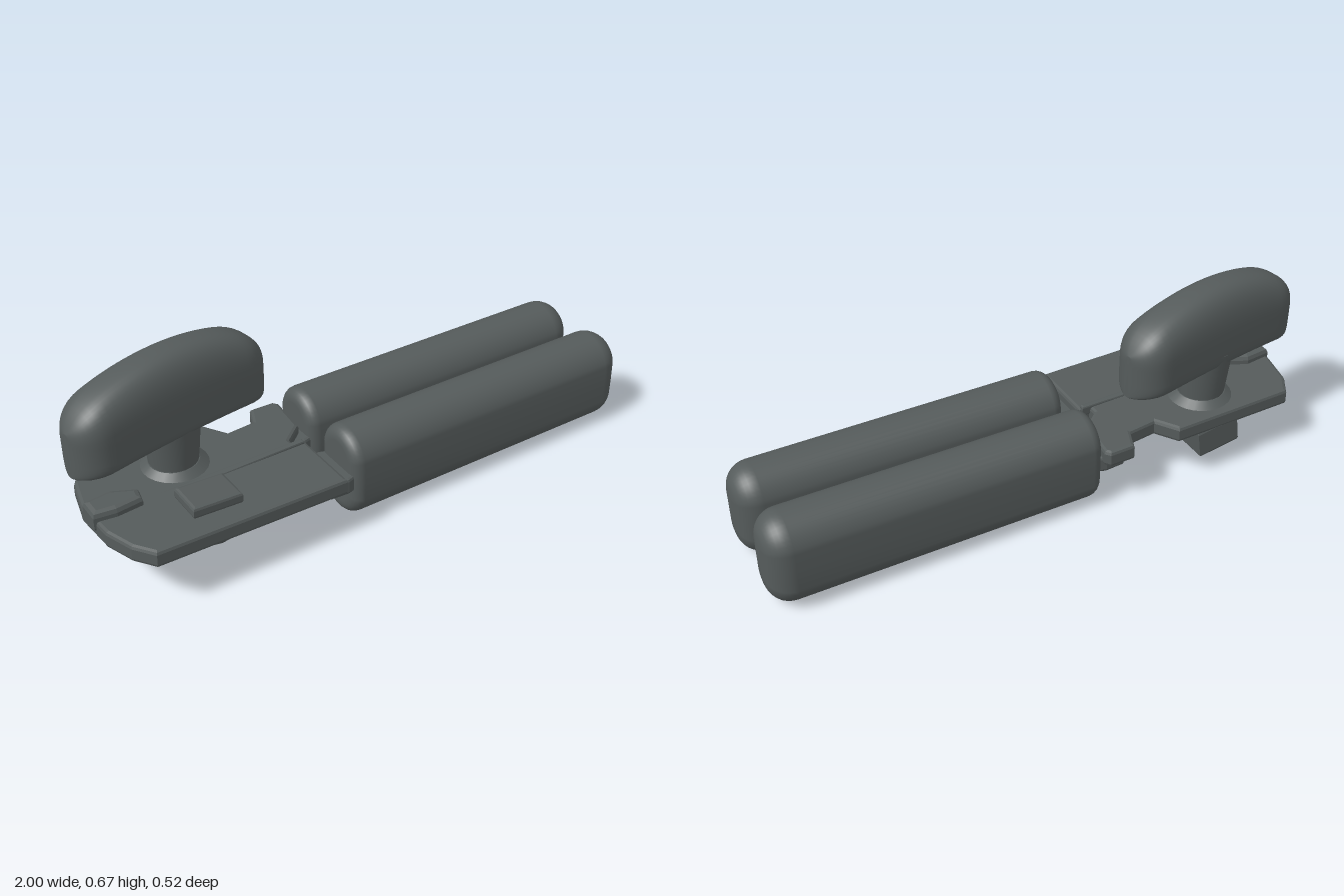
import * as THREE from 'three';

// Skin a row of rings running along x. ring(t, a) gives the [x, y, z] of one point.
function loft(stations, ring, sides = 40) {
  const pos = [], idx = [];
  for (const s of stations)
    for (let j = 0; j < sides; j++) pos.push(...ring(s, (j / sides) * Math.PI * 2));
  for (let i = 0; i < stations.length - 1; i++)
    for (let j = 0; j < sides; j++) {
      const k = (j + 1) % sides;
      const a = i * sides + j, b = a + sides, c = i * sides + k, d = c + sides;
      idx.push(a, b, c, b, d, c);
    }
  const g = new THREE.BufferGeometry();
  g.setAttribute('position', new THREE.Float32BufferAttribute(pos, 3));
  g.setIndex(idx);
  g.computeVertexNormals();
  return g;
}

// Flat outline in [x, z], given thickness upward from y, with a small bevel
function slab(points, y, height, bevel) {
  const shape = new THREE.Shape(points.map(([x, z]) => new THREE.Vector2(x, -z)));
  const g = new THREE.ExtrudeGeometry(shape, {
    depth: height - 2 * bevel, bevelEnabled: true, bevelSize: bevel,
    bevelOffset: -bevel, bevelThickness: bevel, bevelSegments: 2,
  });
  return g.rotateX(-Math.PI / 2).translate(0, y + bevel, 0);
}

// Long padded grip with an upright stadium section and rounded ends
function gripGeometry() {
  const R = 0.107, S = 0.055, st = [{ x: -0.165, r: 0, s: 0 }];
  const rounded = (x, rad, dir, n) => {
    for (let i = 0; i <= n; i++) {
      const a = (i / n) * Math.PI / 2, t = dir < 0 ? Math.PI / 2 - a : a;
      st.push({ x: x + dir * rad * Math.sin(t), r: R - rad * (1 - Math.cos(t)), s: S });
    }
  };
  st.push({ x: -0.165, r: 0.06, s: S });
  rounded(-0.125, 0.04, -1, 5);
  rounded(0.915, 0.08, 1, 8);
  st.push({ x: 0.998, r: 0.018, s: S }, { x: 1, r: 0, s: 0 });
  return loft(st, ({ x, r, s }, a) => {
    const sn = Math.sin(a);
    return [x, 0.163 + r * sn + (Math.abs(sn) < 1e-6 ? 0 : Math.sign(sn) * s), r * Math.cos(a)];
  });
}

// Turning key: arched top, square lower edge and a shallow hollow underneath
function keyGeometry() {
  const L = 0.366, st = [{ u: -L, w: 0, h: 0 }];
  for (let i = 0; i <= 36; i++) {
    const u = -L * Math.cos((i / 36) * Math.PI) * 0.998;
    const e = Math.max(0, (Math.abs(u) - 0.266) / 0.1);
    st.push({ u, w: 0.1 * Math.sqrt(Math.max(0.01, 1 - e * e)), h: 1 });
  }
  st.push({ u: L, w: 0, h: 0 });
  return loft(st, ({ u, w, h }, a) => {
    const q = Math.abs(u / L);
    const top = 0.67 - 0.085 * q * q - 0.06 * q ** 10;
    const bottom = 0.385 - 0.015 * q * q;
    const mid = 0.49, c = Math.cos(a), s = Math.sin(a);
    const n = s > 0 ? 2.7 : 7;
    const z = Math.sign(c) * Math.abs(c) ** (2 / n);
    const v = Math.abs(s) ** (2 / n);
    let y = s > 0 ? mid + (top - mid) * v : mid - (mid - bottom) * v;
    if (s < 0 && Math.abs(z) < 0.75 && q < 0.9) y += 0.035;
    return [u, mid + (y - mid) * h, z * w];
  }, 48);
}

export function createModel() {
  const model = new THREE.Group();
  const grey = new THREE.MeshStandardMaterial({ color: 0x555b5b });
  grey.name = 'dark grey';
  const add = (name, geometry, x = 0, y = 0, z = 0) => {
    const m = new THREE.Mesh(geometry, grey);
    m.name = name;
    m.position.set(x, y, z);
    model.add(m);
    return m;
  };

  // Two grips and the necks that join them to the head
  const grip = gripGeometry();
  for (const [side, z] of [['front', 0.127], ['back', -0.138]]) {
    add(side + 'Grip', grip, 0, 0, z);
    add(side + 'Neck', slab([[-0.25, z - 0.09], [-0.18, z - 0.095], [-0.13, z - 0.08],
      [-0.13, z + 0.08], [-0.18, z + 0.095], [-0.25, z + 0.09]], 0.13, 0.06, 0.01));
  }

  // Head plate with clipped corners, a slot between the arms and a cut in the back edge
  const plate = add('headPlate', slab([
    [-0.88, 0.258], [-0.21, 0.258], [-0.21, 0], [-0.25, 0], [-0.25, -0.03], [-0.18, -0.09],
    [-0.165, -0.24], [-0.18, -0.26], [-0.27, -0.26], [-0.3, -0.19], [-0.4, -0.18], [-0.45, -0.26],
    [-0.9, -0.26], [-0.945, -0.19], [-0.975, -0.06], [-0.965, 0.09], [-0.93, 0.19],
  ], -0.03, 0.06, 0.012), 0, 0.192, 0);
  plate.rotation.z = -0.02;

  // Raised details on top of the plate
  add('endRidge', slab([[-0.975, 0.03], [-0.9, 0.04], [-0.81, 0.03], [-0.8, -0.02],
    [-0.88, -0.06], [-0.975, -0.05]], 0.2, 0.072, 0.018));
  add('armSeam', slab([[-0.9, 0.035], [-0.22, 0.015], [-0.22, -0.005], [-0.9, 0.0]], 0.2, 0.037, 0.006));
  const pad = add('raisedPad', slab([[-0.72, 0.06], [-0.55, 0.06], [-0.55, 0.19], [-0.72, 0.19]],
    -0.02, 0.04, 0.01), 0, 0.228, 0);
  pad.rotation.z = -0.05;

  // Turning key on its post
  const key = add('turningKey', keyGeometry(), -0.638, 0, -0.115);
  key.rotation.y = 0.18;
  add('keyPost', new THREE.CylinderGeometry(0.1, 0.078, 0.22, 24), -0.63, 0.325, -0.118);
  add('postCollar', new THREE.CylinderGeometry(0.085, 0.13, 0.035, 24), -0.63, 0.238, -0.118);

  // Feed wheel and guide block below the plate
  add('feedWheel', new THREE.CylinderGeometry(0.16, 0.1, 0.06, 16), -0.63, 0.145, 0.09);
  add('wheelHub', new THREE.CylinderGeometry(0.075, 0.05, 0.04, 12), -0.63, 0.1, 0.09);
  const block = add('guideBlock', slab([[-0.08, -0.1], [0.08, -0.1], [0.08, 0.1], [-0.08, 0.1]],
    -0.055, 0.11, 0.01), -0.62, 0.135, -0.158);
  block.rotation.z = -0.15;
  add('innerFoot', new THREE.CylinderGeometry(0.09, 0.045, 0.12, 6), -0.6, 0.126, -0.02);

  return model;
}
